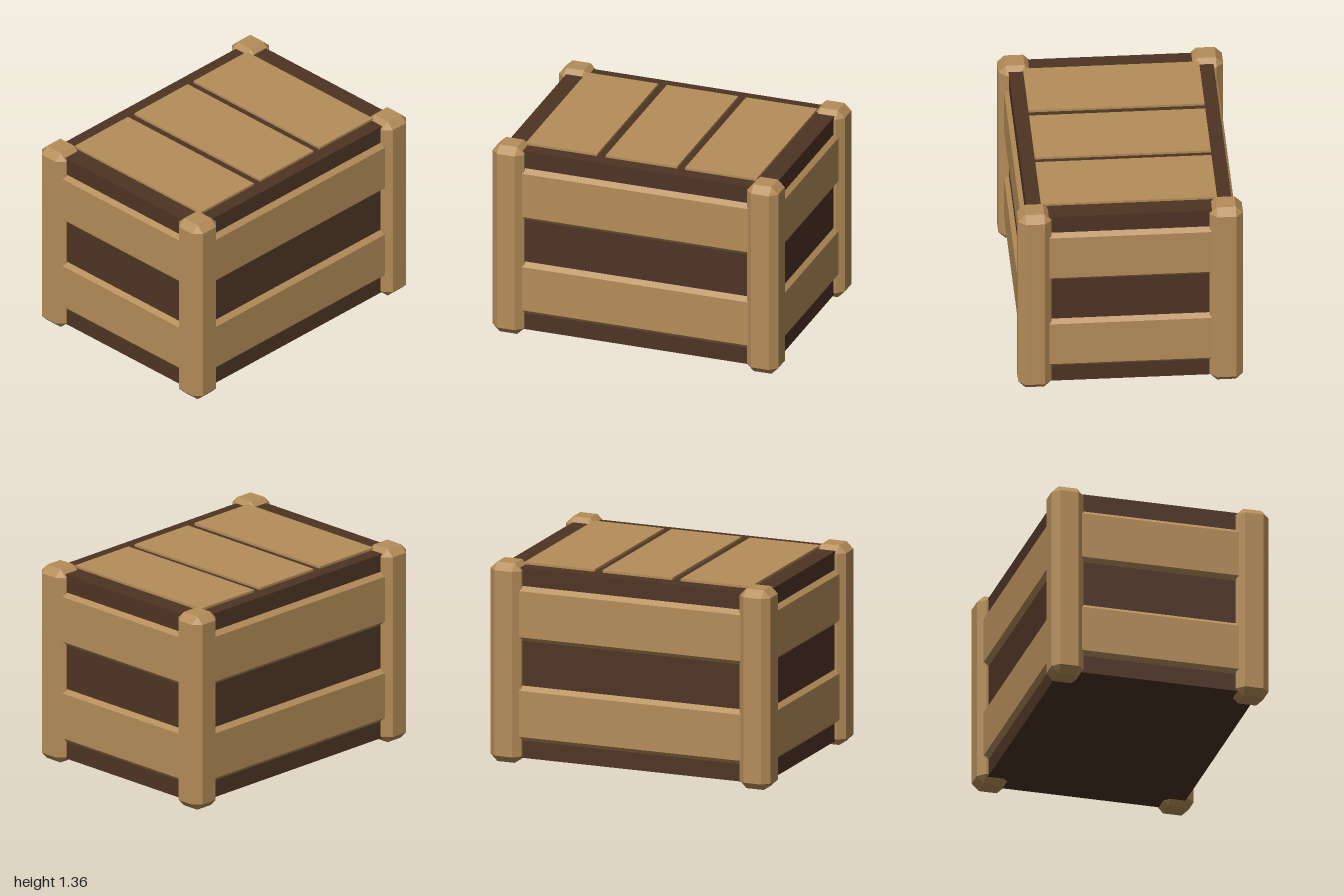
import * as THREE from 'three';
import { ConvexGeometry } from 'three/addons/geometries/ConvexGeometry.js';

const wood = new THREE.MeshStandardMaterial({ color: 0xb58d59, flatShading: true });
const darkWood = new THREE.MeshStandardMaterial({ color: 0x4e3424, flatShading: true });

// Box with every edge cut at 45 degrees by c
function chamferedBox(w, h, d, c) {
  const points = [];
  for (const sx of [-1, 1]) for (const sy of [-1, 1]) for (const sz of [-1, 1]) {
    const [x, y, z] = [w / 2, h / 2, d / 2];
    points.push(
      new THREE.Vector3(sx * x, sy * (y - c), sz * (z - c)),
      new THREE.Vector3(sx * (x - c), sy * y, sz * (z - c)),
      new THREE.Vector3(sx * (x - c), sy * (y - c), sz * z));
  }
  return new ConvexGeometry(points);
}

export function createModel() {
  const crate = new THREE.Group();
  crate.name = 'crate';

  function add(name, geometry, material, x, y, z) {
    const mesh = new THREE.Mesh(geometry, material);
    mesh.name = name;
    mesh.position.set(x, y, z);
    crate.add(mesh);
  }

  // Dark inner body
  add('body', new THREE.BoxGeometry(1.88, 1.29, 1.35), darkWood, 0, 0.68, 0);

  // Corner posts
  const post = chamferedBox(0.22, 1.356, 0.22, 0.048);
  for (const sx of [-1, 1]) for (const sz of [-1, 1]) {
    add((sz > 0 ? 'front' : 'back') + (sx > 0 ? 'Left' : 'Right') + 'Post',
      post, wood, sx * 0.89, 0.678, sz * 0.631);
  }

  // Two bevelled slats on each of the four sides
  const longSlat = chamferedBox(1.76, 0.373, 0.08, 0.03);
  const shortSlat = chamferedBox(0.08, 0.373, 1.24, 0.03);
  for (const [level, y] of [['Lower', 0.34], ['Upper', 1.017]]) {
    for (const s of [-1, 1]) {
      add((s > 0 ? 'front' : 'back') + level + 'Slat', longSlat, wood, 0, y, s * 0.665);
      add((s > 0 ? 'left' : 'right') + level + 'Slat', shortSlat, wood, s * 0.928, y, 0);
    }
  }

  // Three lid planks
  for (const [x, w] of [[-0.56, 0.5], [0, 0.5], [0.555, 0.5]]) {
    add('lidPlank', new THREE.BoxGeometry(w, 0.04, 1.16), wood, x, 1.321, 0);
  }

  return crate;
}
